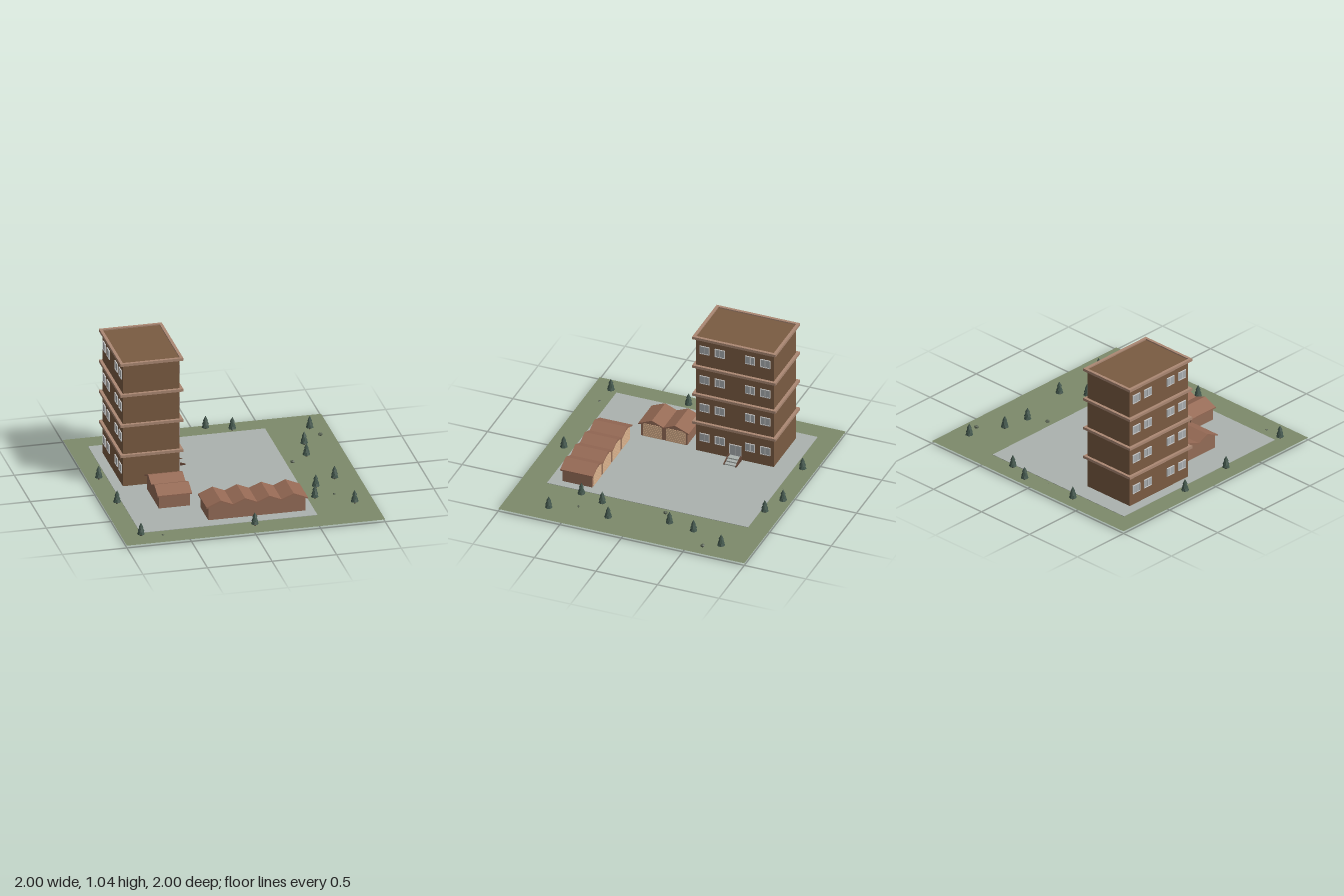
import * as THREE from 'three';

const mat = (color, extra = {}) => new THREE.MeshStandardMaterial({ color, flatShading: true, ...extra });
const M = {
  lawn: mat(0x7d8a6b, { side: THREE.DoubleSide }),
  pad: mat(0xabb2ae),
  brick: mat(0x7a5b42),
  ledge: mat(0xab8873),
  shed: mat(0x946c57),
  roof: mat(0x966a55),
  shutter: mat(0xd9b08c),
  frame: mat(0xd4d4d4),
  glass: mat(0xa6abae),
  rail: mat(0x5f4234),
  leaf: mat(0x40544a),
  trunk: mat(0x43332a),
  rock: mat(0x5c6656),
};
const GROUND = 0.022;

function add(parent, name, geometry, material, x = 0, y = 0, z = 0) {
  const mesh = new THREE.Mesh(geometry, material);
  mesh.name = name;
  mesh.position.set(x, y, z);
  parent.add(mesh);
  return mesh;
}

// Box given by its min and max corners
function box(parent, name, material, [x0, y0, z0], [x1, y1, z1]) {
  return add(parent, name, new THREE.BoxGeometry(x1 - x0, y1 - y0, z1 - z0), material,
    (x0 + x1) / 2, (y0 + y1) / 2, (z0 + z1) / 2);
}

function group(parent, name, x = 0, y = 0, z = 0, turn = 0) {
  const g = new THREE.Group();
  g.name = name;
  g.position.set(x, y, z);
  g.rotation.y = turn;
  parent.add(g);
  return g;
}

const polygon = (pts) => new THREE.Shape(pts.map(([x, y]) => new THREE.Vector2(x, y)));
const rect = (x0, y0, x1, y1) => polygon([[x0, y0], [x1, y0], [x1, y1], [x0, y1]]);
const extrude = (shape, depth) => new THREE.ExtrudeGeometry(shape, { depth, bevelEnabled: false });

// Frame with two panes, centred on its own origin and facing +z
function twoPane(parent, name, w, h, x, y, z, turn) {
  const g = group(parent, name, x, y, z, turn);
  const b = 0.005, pane = w / 2 - b * 1.5;
  const outline = rect(-w / 2, -h / 2, w / 2, h / 2);
  for (const s of [-1, 1]) {
    const c = s * (pane + b) / 2;
    outline.holes.push(rect(c - pane / 2, -h / 2 + b, c + pane / 2, h / 2 - b));
    add(g, 'pane', new THREE.BoxGeometry(pane, h - 2 * b, 0.004), M.glass, c, 0, 0.002);
  }
  add(g, 'frame', extrude(outline, 0.008), M.frame);
  return g;
}

function buildTower(root) {
  const g = group(root, 'tower');
  const [x0, x1, z0, z1] = [-0.768, -0.328, -0.692, -0.06];
  const o = 0.023;
  box(g, 'towerWalls', M.brick, [x0, GROUND, z0], [x1, 1.03, z1]);

  // Ledge rings between the floors and around the roof
  for (const y of [0.268, 0.516, 0.765, 1.019]) {
    const ring = rect(x0 - o, -z1 - o, x1 + o, -z0 + o);
    ring.holes.push(rect(x0, -z1, x1, -z0));
    add(g, 'ledge', extrude(ring, 0.021), M.ledge, 0, y, 0).rotation.x = -Math.PI / 2;
  }

  // Windows on both long sides
  for (const [x, turn] of [[x1, Math.PI / 2], [x0, -Math.PI / 2]])
    for (const y of [0.153, 0.416, 0.664, 0.928])
      for (const z of [-0.13, -0.254, -0.5, -0.624])
        twoPane(g, 'window', 0.08, 0.07, x, y, z, turn);

  // Entrance with steps and sloping side walls
  const zc = -0.381;
  twoPane(g, 'entranceDoor', 0.1, 0.105, x1, 0.095, zc, Math.PI / 2);
  for (let i = 0; i < 3; i++)
    box(g, 'step', M.pad, [x1, GROUND, zc - 0.045], [x1 + 0.108 - i * 0.03, 0.034 + i * 0.01, zc + 0.045]);
  const side = polygon([[x1, GROUND], [x1 + 0.113, GROUND], [x1 + 0.113, 0.032], [x1 + 0.03, 0.062], [x1, 0.062]]);
  for (const s of [-1, 1])
    add(g, 'stepSideWall', extrude(side, 0.01), M.rail, 0, 0, zc + s * 0.049 - 0.005);
}

// Row of gabled garages along x, doors towards +z
function buildGarages(root, name, count, x, z, turn) {
  const g = group(root, name, x, 0, z, turn);
  const bay = 0.188, half = count * bay / 2, slope = 0.42, over = 0.017;
  const peak = 0.182, valley = peak - slope * bay / 2, t = 0.011;

  // Zigzag roof line, from one eave to the other
  const line = [[-half - over, valley - slope * over]];
  for (let i = 0; i < count; i++) {
    line.push([-half + (i + 0.5) * bay, peak]);
    if (i < count - 1) line.push([-half + (i + 1) * bay, valley]);
  }
  line.push([half + over, valley - slope * over]);

  const under = line.map(([px, py]) => [px, py - t]);
  add(g, 'garageRoof', extrude(polygon([...under, ...[...line].reverse()]), 0.266), M.roof, 0, 0, -0.133);

  const top = under.slice(1, -1);
  const wall = [[-half, GROUND], [half, GROUND], [half, valley - t], ...top.reverse(), [-half, valley - t]];
  add(g, 'garageWalls', extrude(polygon(wall), 0.24), M.shed, 0, 0, -0.12);

  // Slatted doors
  for (let i = 0; i < count; i++) {
    const c = -half + (i + 0.5) * bay;
    const door = group(g, 'garageDoor', c, 0, 0.12);
    for (let k = 0; k < 7; k++)
      add(door, 'slat', new THREE.BoxGeometry(0.156, 0.0145, 0.008), M.shutter, 0, 0.033 + k * 0.016, 0);
    add(door, 'doorBacking', new THREE.BoxGeometry(0.156, 0.11, 0.003), M.shutter, 0, 0.081, 0.001);
  }
}

function buildTree(root, x, z, i) {
  const g = group(root, 'tree', x, GROUND, z, i * 1.3);
  add(g, 'trunk', new THREE.CylinderGeometry(0.006, 0.008, 0.04, 6), M.trunk, 0, 0.01, 0);
  // Stacked, tapering tiers of foliage
  for (const [r, r2, h, y] of [[0.03, 0.015, 0.035, 0.032], [0.026, 0.011, 0.034, 0.055], [0.019, 0.001, 0.038, 0.088]])
    add(g, 'foliage', new THREE.CylinderGeometry(r2, r, h, 7), M.leaf, 0, y, 0).rotation.y = y * 20;
}

export function createModel() {
  const root = new THREE.Group();
  root.name = 'housingBlock';

  // Lawn around the paved yard
  const lawn = rect(-1, -1, 1, 1);
  lawn.holes.push(rect(-0.845, -0.8, 0.525, 0.835));
  add(root, 'lawn', new THREE.ShapeGeometry(lawn), M.lawn, 0, GROUND, 0).rotation.x = -Math.PI / 2;
  box(root, 'pavedYard', M.pad, [-0.845, 0.018, -0.835], [0.525, 0.025, 0.8]);

  buildTower(root);
  buildGarages(root, 'longGarages', 4, 0.081, 0.581, Math.PI);
  buildGarages(root, 'shortGarages', 2, -0.484, 0.214, Math.PI / 2);

  const trees = [
    [-0.38, -0.905], [0.09, -0.94], [0.28, -0.87], [0.85, -0.75], [0.74, -0.48], [0.705, -0.27], [-0.91, -0.24],
    [-0.885, 0.23], [0.81, 0.185], [0.635, 0.305], [0.58, 0.497], [0.85, 0.652], [-0.853, 0.848], [0.023, 0.87],
  ];
  trees.forEach(([x, z], i) => buildTree(root, x, z, i));

  // Small rocks, some half sunk in the lawn
  const rocks = [[-0.083, 0.013, -0.865, 0.013], [0.9, 0.03, -0.62, 0.018], [0.577, 0.028, -0.185, 0.017],
    [0.74, 0.024, 0.455, 0.011], [-0.69, 0.017, 0.873, 0.014]];
  rocks.forEach(([x, y, z, r], i) => {
    const rock = add(root, 'rock', new THREE.DodecahedronGeometry(r), M.rock, x, y, z);
    rock.scale.y = 0.8;
    rock.rotation.y = i;
  });
  return root;
}
